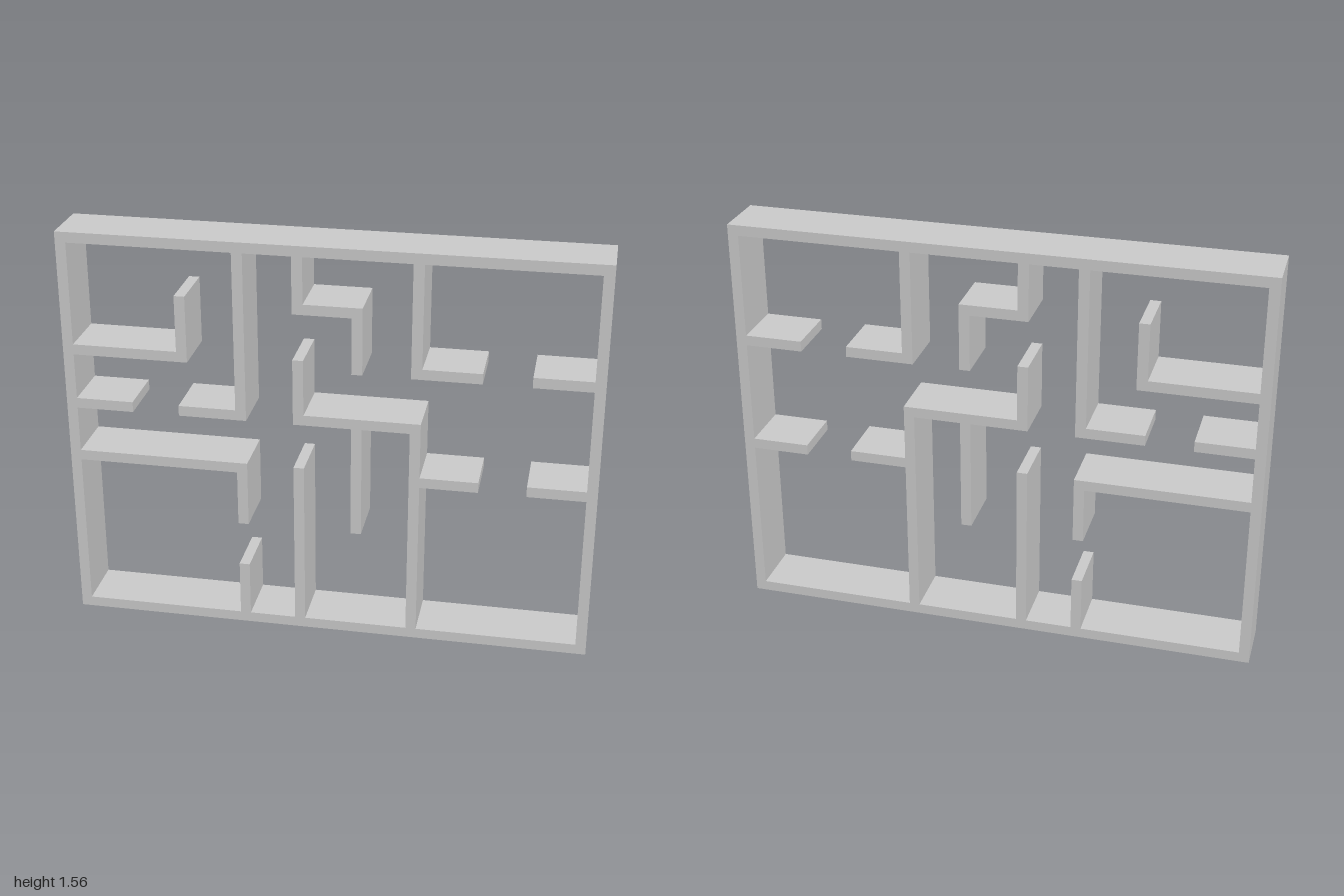
import * as THREE from 'three';

const T = 0.04;               // wall thickness
const PITCH = (2 - T) / 9;    // maze cell size: 9 x 7 cells
const DEPTH = 0.216;

// Horizontal walls: [name, row, first column, last column]
const HORIZONTAL = [
  ['frameBottom', 0, 0, 9],
  ['frameTop', 7, 0, 9],
  ['lowerShelfLeftSide', 3, 0, 3],
  ['lowerShelfInner', 3, 6, 7],
  ['lowerShelfOuter', 3, 8, 9],
  ['middleShelfOuter', 4, 0, 1],
  ['middleShelfInner', 4, 2, 3],
  ['middleShelfCentre', 4, 4, 6],
  ['upperShelfLeftSide', 5, 0, 2],
  ['upperShelfInner', 5, 6, 7],
  ['upperShelfOuter', 5, 8, 9],
  ['hookShelf', 6, 4, 5],
];

// Vertical walls: [name, column, first row, last row]
const VERTICAL = [
  ['frameSide', 0, 0, 7],
  ['frameSide', 9, 0, 7],
  ['shelfUpstand', 2, 5, 6],
  ['doorStub', 3, 0, 1],
  ['doorDrop', 3, 2, 3],
  ['upperDivider', 3, 4, 7],
  ['lowerDivider', 4, 0, 3],
  ['centreUpstand', 4, 4, 5],
  ['hookHanger', 4, 6, 7],
  ['centreDrop', 5, 2, 4],
  ['hookTip', 5, 5, 6],
  ['lowerDivider', 6, 0, 4],
  ['upperDivider', 6, 5, 7],
];

const node = (i) => T / 2 + i * PITCH;

export function createModel() {
  const group = new THREE.Group();
  group.name = 'mazeShelf';
  const material = new THREE.MeshStandardMaterial({ color: 0xcccccc, flatShading: true });

  const addWall = (name, x0, x1, y0, y1) => {
    const mesh = new THREE.Mesh(new THREE.BoxGeometry(x1 - x0, y1 - y0, DEPTH), material);
    mesh.position.set((x0 + x1) / 2 - 1, (y0 + y1) / 2, 0);
    mesh.name = name;
    group.add(mesh);
  };

  // Ends run past their node by half a thickness, or stop short where they butt a wall
  const cap = (butts) => (butts ? -T / 2 : T / 2);
  const verticalPasses = (col, row) =>
    VERTICAL.some(([, c, a, b]) => c === col && a < row && row < b);
  const horizontalAt = (col, row) =>
    HORIZONTAL.some(([, r, a, b]) => r === row && a <= col && col <= b);

  for (const [name, row, a, b] of HORIZONTAL) {
    addWall(name,
      node(a) - cap(verticalPasses(a, row)), node(b) + cap(verticalPasses(b, row)),
      node(row) - T / 2, node(row) + T / 2);
  }
  for (const [name, col, a, b] of VERTICAL) {
    addWall(name,
      node(col) - T / 2, node(col) + T / 2,
      node(a) - cap(horizontalAt(col, a)), node(b) + cap(horizontalAt(col, b)));
  }
  return group;
}
